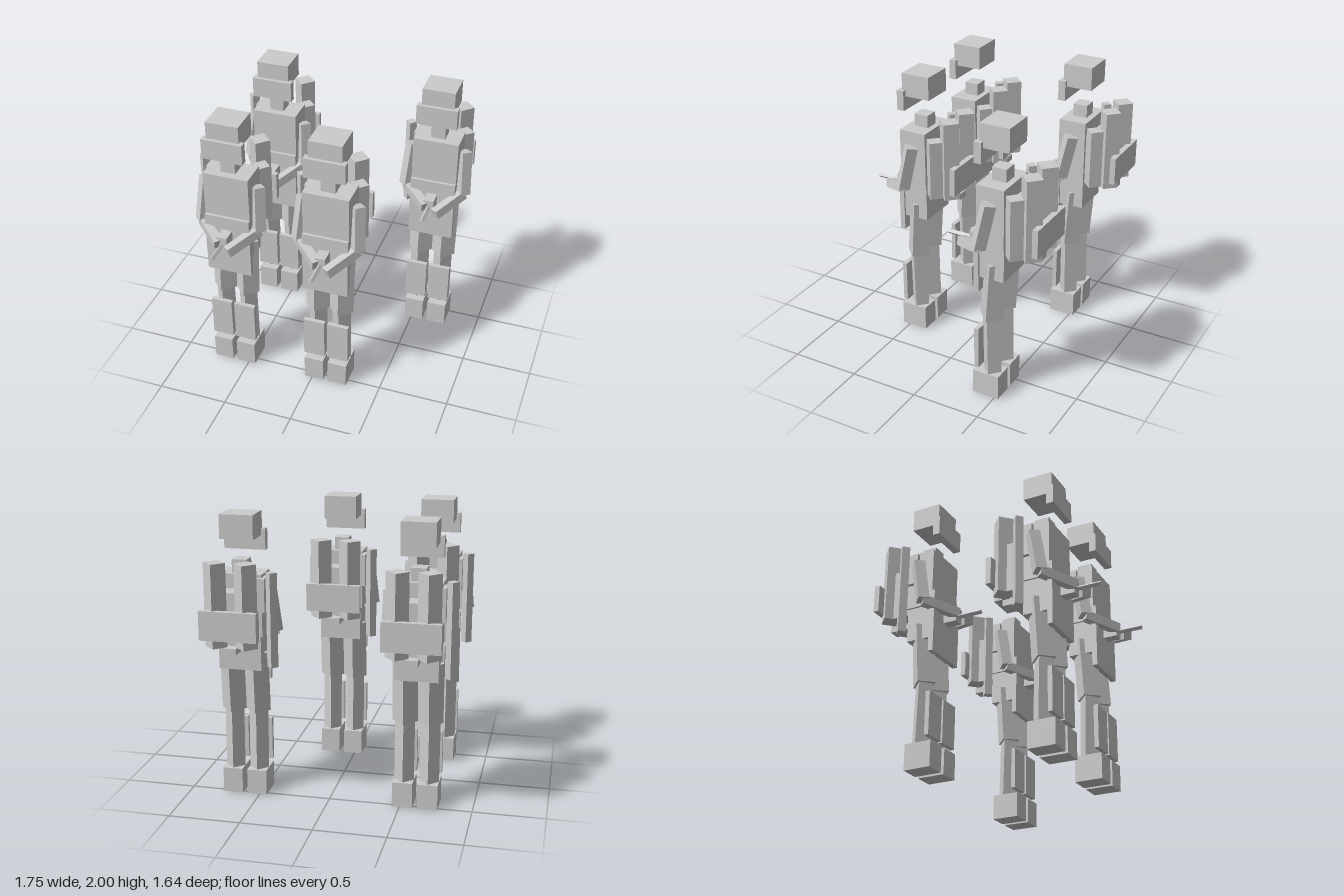
import * as THREE from 'three';

const material = new THREE.MeshStandardMaterial({ color: 0xcccccc, flatShading: true });
const UP = new THREE.Vector3(0, 1, 0);

// Box from its lower and upper bounds on each axis
function box(parent, name, [x0, x1], [y0, y1], [z0, z1]) {
  const mesh = new THREE.Mesh(new THREE.BoxGeometry(x1 - x0, y1 - y0, z1 - z0), material);
  mesh.position.set((x0 + x1) / 2, (y0 + y1) / 2, (z0 + z1) / 2);
  mesh.name = name;
  parent.add(mesh);
}

// Four-sided rod running between two points
function rod(parent, name, from, to, radius) {
  const a = new THREE.Vector3(...from);
  const b = new THREE.Vector3(...to);
  const dir = b.clone().sub(a);
  const mesh = new THREE.Mesh(new THREE.CylinderGeometry(radius, radius, dir.length(), 4), material);
  if (dir.y < 0) dir.negate();
  mesh.quaternion.setFromUnitVectors(UP, dir.normalize());
  mesh.position.copy(a).add(b).multiplyScalar(0.5);
  mesh.name = name;
  parent.add(mesh);
}

function createSoldier() {
  const g = new THREE.Group();

  // Head: helmet floats above the mask and the neck
  box(g, 'helmet', [-0.116, 0.116], [1.835, 2], [0.312, 0.524]);
  box(g, 'faceMask', [-0.145, 0.145], [1.735, 1.88], [0.497, 0.55]);
  box(g, 'neck', [-0.052, 0.052], [1.55, 1.69], [0.365, 0.47]);

  // Body
  box(g, 'torso', [-0.163, 0.163], [1.175, 1.6], [0.323, 0.524]);
  box(g, 'pelvis', [-0.149, 0.149], [0.93, 1.175], [0.328, 0.508]);
  box(g, 'frontApron', [-0.163, 0.163], [0.82, 1.278], [0.508, 0.545]);

  // Legs and arms, mirrored
  for (const s of [-1, 1]) {
    const side = s > 0 ? 'left' : 'right';
    const x = s * 0.0875;
    rod(g, side + 'Thigh', [x, 1.04, 0.418], [x, 0.61, 0.446], 0.0875);
    rod(g, side + 'Shin', [x, 0.61, 0.447], [x, 0.18, 0.438], 0.069);
    box(g, side + 'ShinGuard', [x - 0.077, x + 0.077], [0.218, 0.525], [0.508, 0.54]);
    box(g, side + 'Boot', [x - 0.07, x + 0.07], [0, 0.18], [0.36, 0.555]);
    rod(g, side + 'UpperArm', [s * 0.188, 1.5, 0.418], [s * 0.21, 1.185, 0.481], 0.055);
  }

  // Forearms reach inward to the gun
  rod(g, 'leftForearm', [0.21, 1.185, 0.481], [0.06, 1.11, 0.69], 0.045);
  rod(g, 'rightForearm', [-0.21, 1.185, 0.481], [-0.02, 1.13, 0.65], 0.045);

  // Gun
  box(g, 'gunBody', [-0.037, 0.037], [1.075, 1.18], [0.4, 0.645]);
  rod(g, 'gunBarrel', [0, 1.117, 0.6], [0, 1.117, 0.82], 0.0175);

  // Backpack with tanks, back board and lower bracket
  box(g, 'backpack', [-0.14, 0.14], [1.14, 1.5], [0.19, 0.323]);
  for (const s of [-1, 1]) rod(g, 'tank', [s * 0.105, 1.14, 0.157], [s * 0.105, 1.71, 0.157], 0.077);
  rod(g, 'sideTank', [0.15, 1.14, 0.252], [0.15, 1.565, 0.252], 0.064);
  box(g, 'backBoard', [-0.196, 0.196], [1.2, 1.4], [0.068, 0.108]);
  box(g, 'packBracket', [-0.04, 0.04], [1.095, 1.14], [0.117, 0.33]);

  // Slung tube at the right hip
  rod(g, 'slungTube', [-0.23, 0.965, 0.332], [-0.23, 1.62, 0.332], 0.039);
  box(g, 'tubeHolder', [-0.19, -0.12], [1.35, 1.58], [0.294, 0.41]);

  return g;
}

export function createModel() {
  const model = new THREE.Group();
  model.name = 'squad';
  const places = [[-0.606, 0], [0.103, 0], [-0.606, -0.89], [0.606, -0.89]];
  places.forEach(([x, z], i) => {
    const soldier = createSoldier();
    soldier.name = 'soldier' + (i + 1);
    soldier.position.set(x, 0, z);
    model.add(soldier);
  });
  return model;
}
